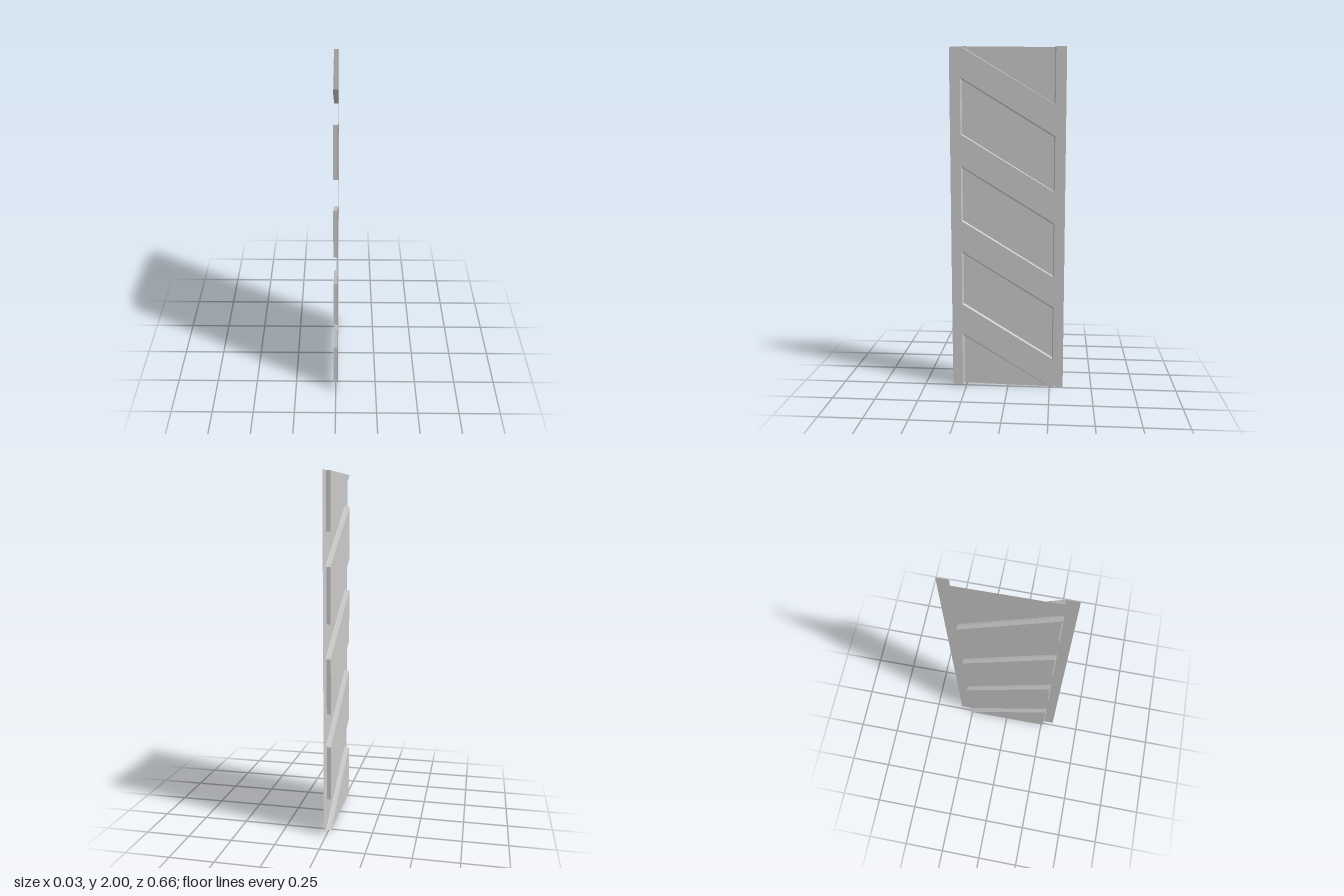
import * as THREE from 'three';

const FRONT = 0.0135, LIP = 0.0095, BACK = -0.0135; // depths of sheet, bevel and panel floor
const W = 0.27, EDGE = 0.33, INSET = 0.006;

const material = new THREE.MeshStandardMaterial({ color: 0xcccccc, side: THREE.DoubleSide, flatShading: true });
const toShape = (pts) => new THREE.Shape(pts.map(([s, y]) => new THREE.Vector2(s, y)));

function addMesh(group, name, geometry) {
  const mesh = new THREE.Mesh(geometry, material);
  mesh.name = name;
  group.add(mesh);
}

// Ribbon of quads joining two outlines at different depths
function wallGeometry(a, za, b, zb, closed) {
  const pos = [], n = a.length;
  for (let i = 0; i < (closed ? n : n - 1); i++) {
    const j = (i + 1) % n;
    const p = [...a[i], za], q = [...a[j], za], r = [...b[j], zb], t = [...b[i], zb];
    pos.push(...p, ...q, ...r, ...p, ...r, ...t);
  }
  const g = new THREE.BufferGeometry();
  g.setAttribute('position', new THREE.Float32BufferAttribute(pos, 3));
  g.computeVertexNormals();
  return g;
}

// Recessed panel: bevelled mouth, straight walls and flat floor
function addPanel(group, name, mouth, inner, closed) {
  const panel = new THREE.Group();
  panel.name = name;
  addMesh(panel, 'bevel', wallGeometry(mouth, FRONT, inner, LIP, closed));
  addMesh(panel, 'wall', wallGeometry(inner, LIP, inner, BACK, closed));
  addMesh(panel, 'floor', new THREE.ShapeGeometry(toShape(inner)).translate(0, 0, BACK));
  group.add(panel);
}

export function createModel() {
  const root = new THREE.Group();
  root.name = 'embossedStrip';
  const sheet = new THREE.Group();
  sheet.name = 'sheet';
  sheet.rotation.y = Math.PI / 2; // the sheet faces +x
  root.add(sheet);

  // Full slanted panels, repeated up the strip
  const holes = [];
  for (let i = 0; i < 3; i++) {
    const y = 0.51 + i * 0.5;
    const mouth = [[-W, y], [W, y - 0.33], [W, y - 0.01], [-W, y + 0.32]];
    const w = W - INSET;
    const inner = [[-w, y], [w, y - 0.325], [w, y - 0.016], [-w, y + 0.308]];
    holes.push(mouth);
    addPanel(sheet, `slantedPanel${i + 1}`, mouth, inner, true);
  }

  // Half panels cut open at both ends
  const w = W - INSET;
  addPanel(sheet, 'bottomPanel',
    [[-W, 0.01], [-W, 0.33], [W, 0]],
    [[-w, 0.01], [-w, 0.318], [w, 0]], false);
  addPanel(sheet, 'topPanel',
    [[-W, 2], [W, 1.675], [W, 1.992]],
    [[-w, 2], [w, 1.68], [w, 1.992]], false);

  // Flat front with the panel openings cut out
  const face = toShape([[-EDGE, 0.01], [-W, 0.01], [-W, 0.33], [W, 0], [W, 0.01], [EDGE, 0.01],
    [EDGE, 1.995], [W, 1.995], [W, 1.675], [-W, 2], [-W, 1.995], [-EDGE, 1.995]]);
  for (const h of holes) face.holes.push(new THREE.Path(h.map(([s, y]) => new THREE.Vector2(s, y))));
  addMesh(sheet, 'frontFace', new THREE.ShapeGeometry(face).translate(0, 0, FRONT));

  return root;
}
